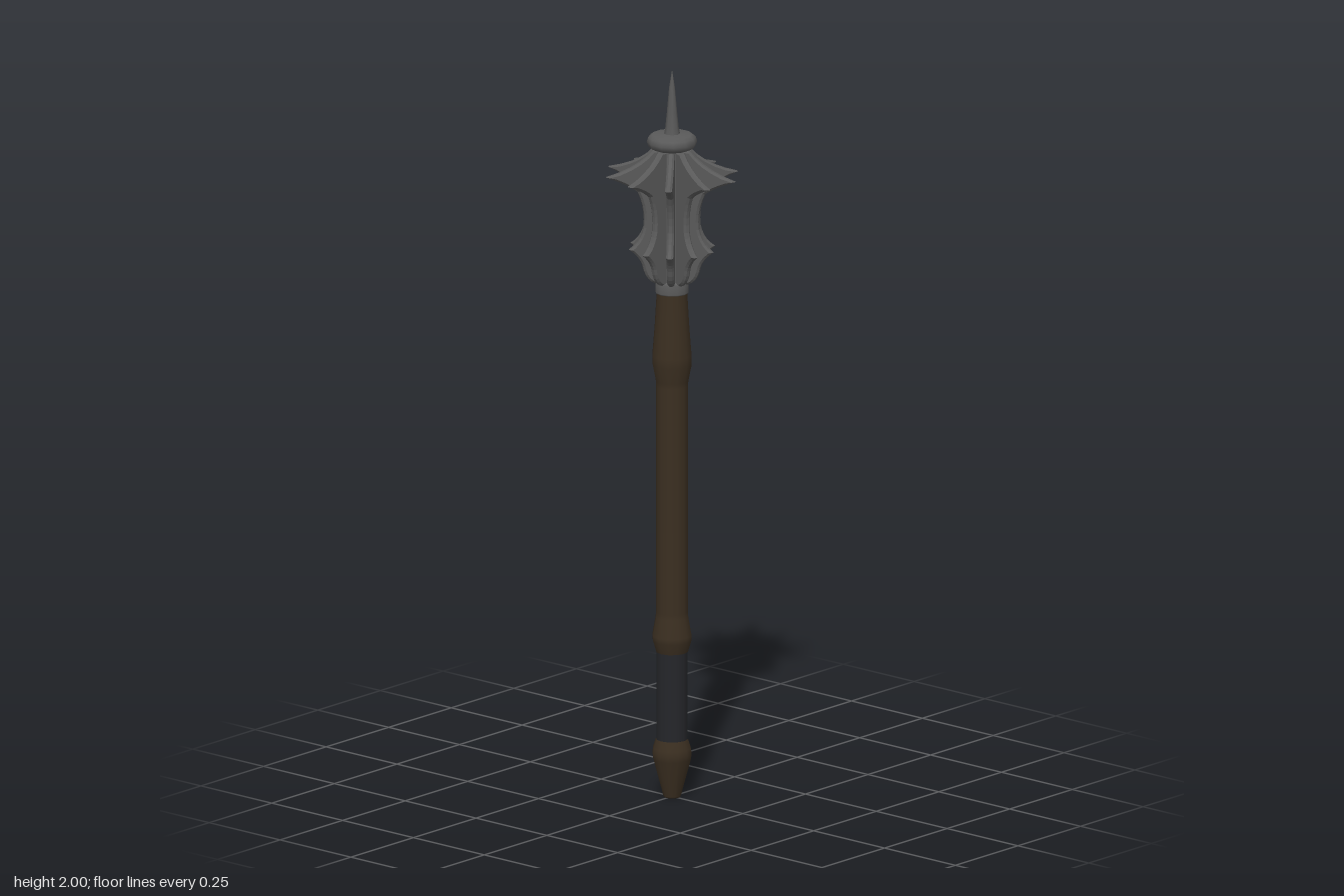
import * as THREE from 'three';

const mat = (name, color) => {
  const m = new THREE.MeshStandardMaterial({ color });
  m.name = name;
  return m;
};

// Turned part from [radius, height] pairs, listed bottom to top
function turned(name, points, sides, material, turn = 0) {
  const geo = new THREE.LatheGeometry(points.map(([r, y]) => new THREE.Vector2(r, y)), sides);
  geo.rotateY(turn);
  const mesh = new THREE.Mesh(geo, material);
  mesh.name = name;
  return mesh;
}

// One flange: concave edges meeting in a long upper point and a short lower point
function flangeGeometry() {
  const s = new THREE.Shape();
  s.moveTo(0.02, 1.415);
  s.lineTo(0.045, 1.415);
  s.quadraticCurveTo(0.07, 1.425, 0.077, 1.465);
  s.quadraticCurveTo(0.085, 1.49, 0.112, 1.51);
  s.quadraticCurveTo(0.082, 1.53, 0.074, 1.57);
  s.quadraticCurveTo(0.068, 1.62, 0.09, 1.668);
  s.quadraticCurveTo(0.115, 1.69, 0.172, 1.712);
  s.quadraticCurveTo(0.085, 1.735, 0.05, 1.782);
  s.lineTo(0.02, 1.782);
  s.closePath();
  const geo = new THREE.ExtrudeGeometry(s, {
    depth: 0.008, curveSegments: 5, bevelEnabled: true, bevelSegments: 1,
    bevelThickness: 0.005, bevelSize: 0.005, bevelOffset: -0.005,
  });
  geo.translate(0, 0, -0.004);
  return geo;
}

export function createModel() {
  const metal = mat('dark steel', 0x5a5a5a);
  const wood = mat('dark wood', 0x3b2f21);
  const wrap = mat('black grip', 0x25262a);
  const mace = new THREE.Group();
  mace.name = 'flangedMace';

  // Handle
  mace.add(turned('pommel', [[0, 0], [0.022, 0], [0.024, 0.004], [0.051, 0.105], [0.053, 0.12],
    [0.051, 0.135], [0.043, 0.16]], 12, wood));
  mace.add(turned('grip', [[0.042, 0.16], [0.042, 0.4]], 12, wrap));
  mace.add(turned('shaft', [[0.043, 0.4], [0.052, 0.43], [0.053, 0.445], [0.044, 0.495], [0.043, 0.51],
    [0.043, 1.13], [0.044, 1.145], [0.053, 1.19], [0.053, 1.215], [0.047, 1.29], [0.041, 1.39]], 12, wood));

  // Head
  mace.add(turned('collar', [[0.03, 1.385], [0.044, 1.387], [0.045, 1.39], [0.045, 1.415],
    [0.04, 1.42], [0.03, 1.425]], 12, metal));
  mace.add(turned('headCore', [[0.036, 1.41], [0.036, 1.79]], 12, metal));

  const flanges = new THREE.Group();
  flanges.name = 'flanges';
  flanges.scale.z = 1.08;
  const geo = flangeGeometry();
  for (let i = 0; i < 10; i++) {
    const flange = new THREE.Mesh(geo, metal);
    flange.name = 'flange';
    flange.rotation.y = (i * Math.PI) / 5;
    flanges.add(flange);
  }
  mace.add(flanges);

  // Cap and spike
  mace.add(turned('cap', [[0, 1.782], [0.05, 1.783], [0.062, 1.789], [0.067, 1.802], [0.063, 1.815],
    [0.053, 1.822], [0, 1.826]], 12, metal, Math.PI / 12));
  mace.add(turned('spike', [[0.022, 1.82], [0.018, 1.84], [0.014, 1.88], [0.008, 1.95], [0, 2]], 8, metal));
  return mace;
}
